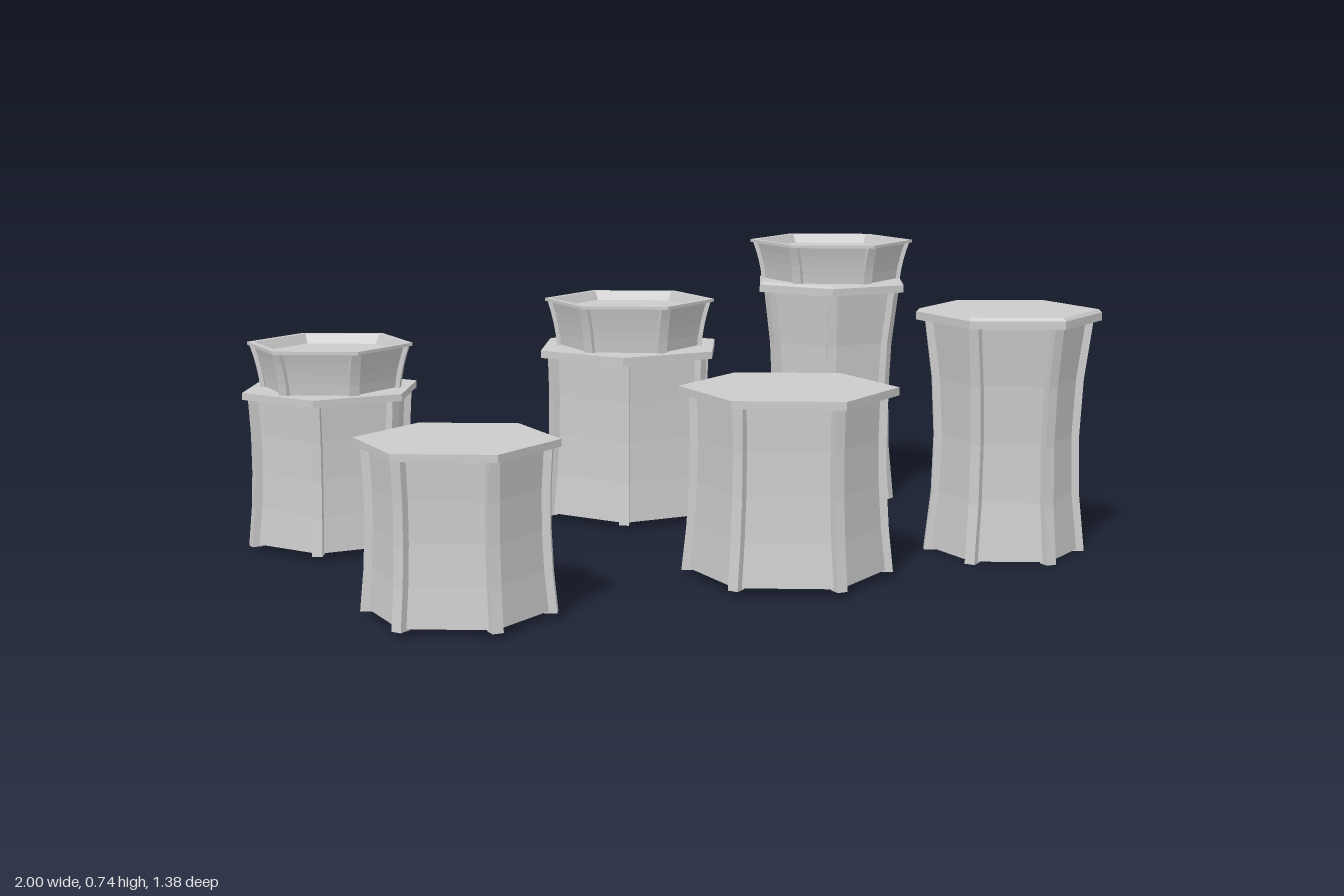
import * as THREE from 'three';

const material = new THREE.MeshStandardMaterial({ color: 0xcccccc, flatShading: true });
const RIB_WIDTH = 0.027;

// Smooth curve of [radius, height] points through a bottom, waist and top radius
function flare(bottom, waist, top, y0, y1) {
  const points = [];
  const steps = 4;
  for (let i = 0; i <= steps; i++) {
    const t = i / steps;
    const r = bottom * (1 - t) * (1 - 2 * t) + 4 * waist * t * (1 - t) + top * t * (2 * t - 1);
    points.push([r, y0 + t * (y1 - y0)]);
  }
  return points;
}

// Six-sided solid from a profile listed bottom to top, corners on +z and -z
function hexSolid(name, profile) {
  const points = profile.map(([r, y]) => new THREE.Vector2(r, y));
  const mesh = new THREE.Mesh(new THREE.LatheGeometry(points, 6), material);
  mesh.name = name;
  return mesh;
}

// Curved ribs standing on the six corners
function ribs(name, outer, depth) {
  const group = new THREE.Group();
  group.name = name + 's';
  const inner = outer.map(([r, y]) => [r - depth, y]).reverse();
  const shape = new THREE.Shape([...outer, ...inner].map(([r, y]) => new THREE.Vector2(r, y)));
  const geometry = new THREE.ExtrudeGeometry(shape, { depth: RIB_WIDTH, bevelEnabled: false });
  geometry.translate(0, 0, -RIB_WIDTH / 2);
  for (let k = 0; k < 6; k++) {
    const rib = new THREE.Mesh(geometry, material);
    rib.name = name;
    rib.rotation.y = Math.PI / 2 + k * Math.PI / 3;
    group.add(rib);
  }
  return group;
}

// Ribbed shaft with a hexagonal slab on top
function pillar(s) {
  const group = new THREE.Group();
  group.name = 'pillar';
  const { radii: [bottom, waist, top], base, under, slab, height, bevel } = s;
  const inset = 0.012;
  const panel = flare(bottom - inset, waist - inset, top - inset, base + 0.005, under);
  const edge = bevel > 0 ? [[slab, height - bevel], [slab - bevel, height]] : [[slab, height]];
  group.add(
    hexSolid('shaft', [[0, base + 0.005], ...panel, [0, under]]),
    ribs('shaftRib', flare(bottom, waist, top, base, under), 0.03),
    hexSolid('topSlab', [[0, under], [slab, under], ...edge, [0, height]])
  );
  return group;
}

// Flared tray with a shallow sunken floor and a thin rim
function tray(s) {
  const group = new THREE.Group();
  group.name = 'tray';
  const { rim, height, trayTop } = s;
  const lip = trayTop - 0.008, floor = trayTop - 0.025, inset = 0.008;
  const low = rim - 0.034, mid = rim - 0.025, high = rim - 0.009;
  const wall = flare(low - inset, mid - inset, high - inset, height, lip);
  group.add(
    hexSolid('trayBowl', [[0, height], ...wall, [rim, lip], [rim, trayTop],
      [rim - 0.018, trayTop], [rim - 0.033, floor], [0, floor]]),
    ribs('trayRib', flare(low, mid, high, height, lip), 0.012)
  );
  return group;
}

export function createModel() {
  const model = new THREE.Group();
  model.name = 'hexagonalPillars';
  const sizes = [
    { name: 'small', x: -0.762, radii: [0.227, 0.213, 0.219], base: 0.015, under: 0.4, slab: 0.238,
      height: 0.418, bevel: 0, rim: 0.217, trayTop: 0.535 },
    { name: 'medium', x: 0.109, radii: [0.261, 0.242, 0.243], base: 0.016, under: 0.455, slab: 0.27,
      height: 0.475, bevel: 0, rim: 0.235, trayTop: 0.605 },
    { name: 'tall', x: 0.763, radii: [0.207, 0.186, 0.214], base: 0, under: 0.602, slab: 0.237,
      height: 0.631, bevel: 0.008, rim: 0.234, trayTop: 0.743 }
  ];
  for (const s of sizes) {
    // Front row: plain pillar
    const front = pillar(s);
    front.name = s.name + 'Pillar';
    front.position.set(s.x, 0, 0.418);
    model.add(front);

    // Back row: pillar turned by half a side, carrying a tray
    const back = new THREE.Group();
    back.name = s.name + 'PillarWithTray';
    const stand = pillar(s);
    stand.rotation.y = Math.PI / 6;
    back.add(stand, tray(s));
    back.position.set(s.x, 0, -0.455);
    model.add(back);
  }
  return model;
}
